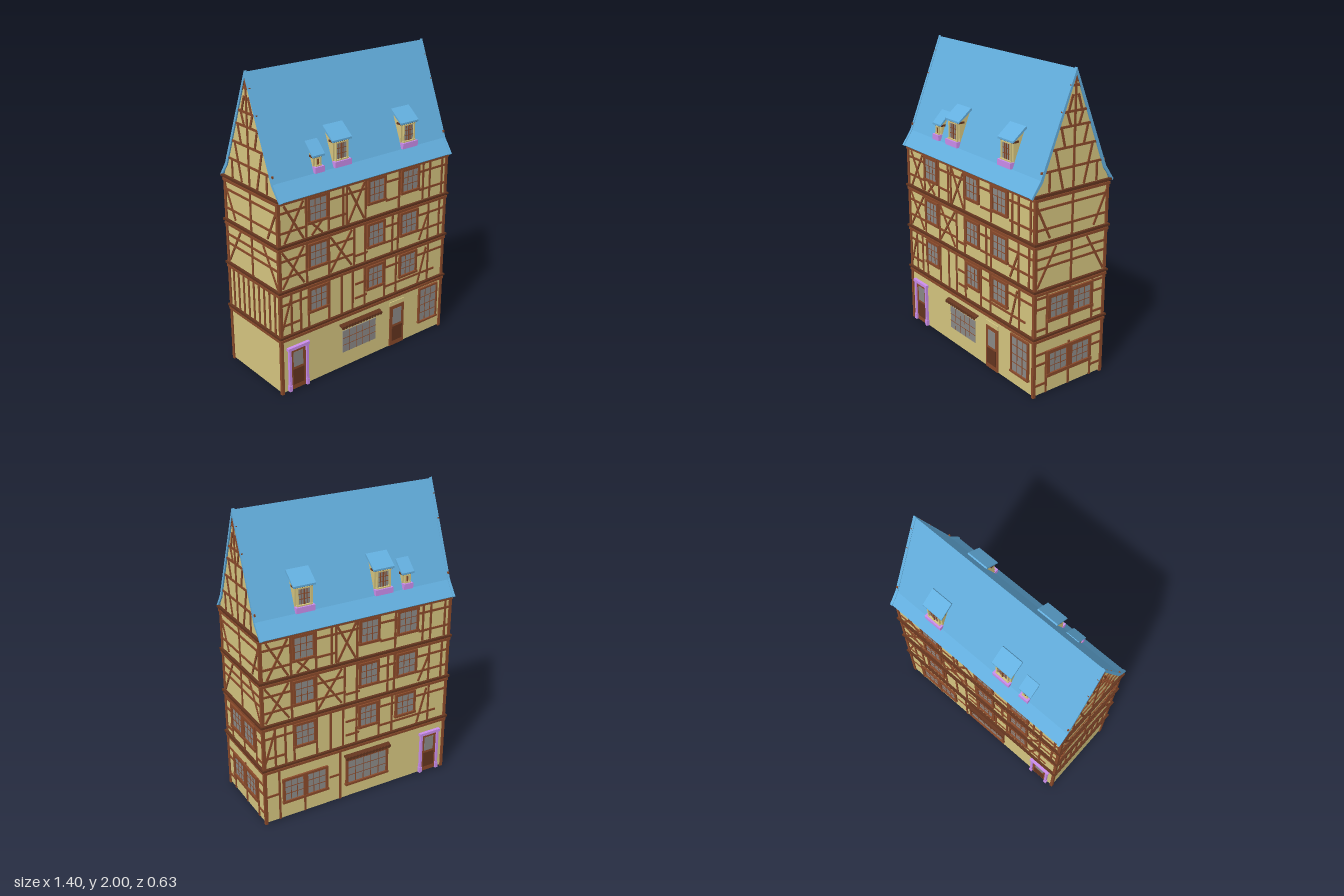
import * as THREE from 'three';

const mat = (color, side = THREE.FrontSide) => {
  const m = new THREE.MeshStandardMaterial({ side });
  m.color.set(color);
  return m;
};
const plaster = mat(0xd6c680, THREE.DoubleSide), wood = mat(0x8a4a2a), darkWood = mat(0x64351f);
const glass = mat(0x8c8a88), tile = mat(0x64b0e0, THREE.DoubleSide), lilac = mat(0xcc8eee);
const HX = 0.68, HZ = 0.275;

function part(parent, name, geo, material, x = 0, y = 0, z = 0) {
  const m = new THREE.Mesh(geo, material);
  m.name = name;
  m.position.set(x, y, z);
  parent.add(m);
  return m;
}
function group(parent, name) {
  const g = new THREE.Group();
  g.name = name;
  parent.add(g);
  return g;
}
// box given by its left, right, bottom, top, back and front limits
const block = (p, name, m, x0, x1, y0, y1, z0, z1) =>
  part(p, name, new THREE.BoxGeometry(x1 - x0, y1 - y0, z1 - z0), m, (x0 + x1) / 2, (y0 + y1) / 2, (z0 + z1) / 2);
// timber lying on a wall from one point to another
function timber(p, [x1, y1, x2, y2], w = 0.014) {
  const m = part(p, 'timber', new THREE.BoxGeometry(Math.hypot(x2 - x1, y2 - y1), w, 0.01), wood, (x1 + x2) / 2, (y1 + y2) / 2, 0.001);
  m.rotation.z = Math.atan2(y2 - y1, x2 - x1);
}
const timbers = (p, list) => list.forEach(t => timber(p, t));
const mirrored = (p, list) => list.forEach(t => { timber(p, t); timber(p, [-t[0], t[1], -t[2], t[3]]); });
// (z, y) outline swept along x and centred
function sweep(points, width) {
  const g = new THREE.ExtrudeGeometry(new THREE.Shape(points.map(q => new THREE.Vector2(...q))), { depth: width, bevelEnabled: false });
  return g.translate(0, 0, -width / 2).rotateY(-Math.PI / 2);
}

// framed window: border, pane, glazing bars
function windowUnit(p, x0, x1, y0, y1, cols = 3, rows = 3, b = 0.016, frame = wood) {
  const g = group(p, 'window');
  block(g, 'pane', glass, x0 + b, x1 - b, y0 + b, y1 - b, -0.01, 0.006);
  block(g, 'jamb', frame, x0, x0 + b, y0, y1, -0.01, 0.014);
  block(g, 'jamb', frame, x1 - b, x1, y0, y1, -0.01, 0.014);
  block(g, 'lintel', frame, x0, x1, y1 - b, y1, -0.01, 0.014);
  block(g, 'sill', frame, x0 - 0.004, x1 + 0.004, y0, y0 + b, -0.01, 0.018);
  for (let i = 1; i < cols; i++) {
    const x = x0 + b + (x1 - x0 - 2 * b) * i / cols;
    block(g, 'glazingBar', wood, x - 0.002, x + 0.002, y0 + b, y1 - b, 0, 0.008);
  }
  for (let i = 1; i < rows; i++) {
    const y = y0 + b + (y1 - y0 - 2 * b) * i / rows;
    block(g, 'glazingBar', wood, x0 + b, x1 - b, y - 0.002, y + 0.002, 0, 0.008);
  }
}
function door(p, x0, x1, y1) {
  const g = group(p, 'door'), w = x1 - x0;
  block(g, 'doorLeaf', wood, x0, x1, 0.01, y1, -0.01, 0.007);
  block(g, 'doorPane', glass, x0 + w * 0.2, x1 - w * 0.2, 0.17, y1 - 0.025, 0, 0.009);
  block(g, 'doorPanel', darkWood, x0 + w * 0.15, x1 - w * 0.15, 0.045, 0.155, 0, 0.012);
}
function lilacDoor(p, c) {
  door(p, c - 0.06, c + 0.06, 0.3);
  for (const s of [-1, 1]) {
    block(p, 'doorPost', lilac, c + s * 0.066 - 0.008, c + s * 0.066 + 0.008, 0.01, 0.3, -0.01, 0.018);
    block(p, 'doorPostBase', lilac, c + s * 0.067 - 0.011, c + s * 0.067 + 0.011, 0.01, 0.05, -0.01, 0.021);
  }
  block(p, 'doorLintel', lilac, c - 0.082, c + 0.082, 0.3, 0.32, -0.01, 0.022);
}
function awning(p, x0, x1) {
  const g = group(p, 'awning'), n = 14, w = (x1 - x0) / n;
  part(g, 'awningRoof', sweep([[0, 0.322], [0.028, 0.312], [0.028, 0.318], [0, 0.332]], x1 - x0), darkWood, (x0 + x1) / 2);
  for (let i = 0; i < n; i++)
    part(g, 'scallop', new THREE.CylinderGeometry(w / 2, w / 2, 0.003, 10).rotateX(Math.PI / 2), darkWood, x0 + w * (i + 0.5), 0.313, 0.027);
}

// timber layouts of the long walls, one per upper floor
const floor1 = [
  [-0.67, 0.62, -0.47, 0.62], [-0.67, 0.48, -0.53, 0.48], [-0.6, 0.41, -0.6, 0.68], [-0.53, 0.41, -0.53, 0.68], [-0.67, 0.45, -0.6, 0.66],
  [-0.47, 0.41, -0.47, 0.68], [-0.31, 0.41, -0.31, 0.68], [-0.21, 0.41, -0.21, 0.68], [-0.12, 0.41, -0.12, 0.68],
  [-0.1, 0.58, 0, 0.58], [-0.1, 0.48, 0, 0.48], [-0.02, 0.41, -0.02, 0.68], [0.15, 0.41, 0.15, 0.68], [0.25, 0.41, 0.25, 0.68],
  [0.15, 0.62, 0.27, 0.62], [0.15, 0.48, 0.6, 0.48], [0.44, 0.62, 0.67, 0.62], [0.45, 0.41, 0.52, 0.66], [0.54, 0.41, 0.54, 0.68]];
const floor2 = [
  [-0.67, 0.91, -0.47, 0.91], [-0.67, 0.8, -0.1, 0.8], [-0.66, 0.73, -0.5, 0.97], [-0.66, 0.97, -0.5, 0.73], [-0.48, 0.72, -0.48, 0.98],
  [-0.31, 0.72, -0.31, 0.98], [-0.3, 0.73, -0.13, 0.97], [-0.3, 0.97, -0.13, 0.73], [-0.31, 0.91, -0.11, 0.91], [-0.11, 0.72, -0.11, 0.98],
  [-0.1, 0.78, 0, 0.78], [-0.02, 0.72, -0.02, 0.98], [0.15, 0.91, 0.27, 0.91], [0.15, 0.8, 0.27, 0.8], [0.21, 0.72, 0.21, 0.98], [0.26, 0.72, 0.26, 0.98],
  [0.44, 0.91, 0.67, 0.91], [0.44, 0.8, 0.67, 0.8], [0.45, 0.73, 0.53, 0.91], [0.53, 0.72, 0.53, 0.98], [0.63, 0.72, 0.63, 0.98]];
const floor3 = [
  [-0.67, 1.215, -0.47, 1.215], [-0.67, 1.09, -0.48, 1.09], [-0.64, 1.26, -0.5, 1.02], [-0.64, 1.02, -0.5, 1.26], [-0.48, 1.02, -0.48, 1.27],
  [-0.44, 1.02, -0.36, 1.1], [-0.44, 1.1, -0.36, 1.02], [-0.31, 1.02, -0.31, 1.27], [-0.31, 1.215, 0, 1.215], [-0.31, 1.09, -0.17, 1.09],
  [-0.2, 1.02, -0.2, 1.27], [-0.17, 1.02, -0.17, 1.27], [-0.16, 1.02, -0.03, 1.26], [-0.16, 1.26, -0.03, 1.02], [-0.02, 1.02, -0.02, 1.27],
  [0.15, 1.215, 0.27, 1.215], [0.15, 1.09, 0.27, 1.09], [0.26, 1.02, 0.26, 1.27], [0.44, 1.215, 0.67, 1.215], [0.44, 1.09, 0.67, 1.09],
  [0.47, 1.02, 0.47, 1.27], [0.53, 1.02, 0.53, 1.27], [0.64, 1.02, 0.64, 1.27]];

function longWall(p) {
  [floor1, floor2, floor3].forEach((f, i) => {
    timbers(p, f);
    for (const [c, h] of [[-0.395, 0.078], [0.067, 0.075], [0.352, 0.08]])
      windowUnit(p, c - h, c + h, 0.505 + i * 0.297, 0.675 + i * 0.297);
  });
}
// upper floors and gable of a short wall
function shortWall(p) {
  timbers(p, [[0, 0.72, 0, 1.95], [-0.27, 0.85, 0.27, 0.85], [-0.27, 0.91, 0.27, 0.91], [-0.27, 1.215, 0.27, 1.215],
    [-0.27, 1.09, 0.27, 1.09], [-0.24, 1.43, 0.24, 1.43], [-0.18, 1.55, 0.18, 1.55], [-0.13, 1.67, 0.13, 1.67],
    [-0.1, 1.755, 0.1, 1.755], [-0.04, 1.9, 0.04, 1.9]]);
  mirrored(p, [[0.26, 0.73, 0.12, 0.97], [0.27, 1.24, 0.17, 1.03], [0.18, 1.31, 0.18, 1.43], [0.14, 1.55, 0.08, 1.31],
    [0.07, 1.55, 0.1, 1.67], [0.03, 1.67, 0.06, 1.755], [0.05, 1.755, 0.02, 1.85], [0.245, 1.38, 0.005, 1.965]]);
}

function dormer(p, c, w, top, bottomZ) {
  const g = group(p, 'dormer'), eave = top - 0.08, h = w / 2 - 0.014;
  g.position.x = c;
  part(g, 'dormerBody', sweep([[0.235, 1.41], [0.235, eave], [bottomZ, top - 0.012], [0.1, 1.41]], 2 * h), plaster);
  part(g, 'dormerRoof', sweep([[0.25, eave - 0.008], [0.25, eave + 0.004], [bottomZ, top], [bottomZ - 0.01, top - 0.012]], w), tile);
  block(g, 'eaveBeam', darkWood, -h - 0.005, h + 0.005, eave - 0.012, eave, 0.2, 0.243);
  const front = group(g, 'dormerFront');
  front.position.z = 0.233;
  windowUnit(front, -h + 0.014, h - 0.014, 1.43, eave - 0.012, 4, 3, 0.008, plaster);
  block(front, 'windowPost', wood, -0.004, 0.004, 1.43, eave - 0.012, 0, 0.012);
  block(g, 'flowerBox', lilac, -h - 0.002, h + 0.002, 1.393, 1.43, 0.2, 0.262);
}

export function createModel() {
  const house = new THREE.Group();
  house.name = 'timberFramedHouse';

  // plaster shell, open underneath
  for (const s of [-1, 1]) {
    const long = part(house, 'longWall', new THREE.PlaneGeometry(2 * HX, 1.29), plaster, 0, 0.655, s * HZ);
    if (s < 0) long.rotation.y = Math.PI;
    const gable = new THREE.Shape([[-HZ, 0.01], [HZ, 0.01], [HZ, 1.31], [0.24, 1.39], [0, 1.975], [-0.24, 1.39], [-HZ, 1.31]].map(q => new THREE.Vector2(...q)));
    part(house, 'gableWall', new THREE.ShapeGeometry(gable), plaster, s * HX).rotation.y = s * Math.PI / 2;
    // corner posts
    for (const t of [-1, 1])
      part(house, 'cornerPost', new THREE.BoxGeometry(0.02, 1.28, 0.02), wood, s * (HX - 0.002), 0.64, t * (HZ - 0.002));
  }

  // storey bands: a lower and an upper rail around the house
  for (const y of [0.392, 0.7, 0.997, 1.287])
    for (const [dy, h, out, m] of [[-0.012, 0.016, 0.012, wood], [0, 0.012, 0.006, darkWood], [0.012, 0.014, 0.018, darkWood]])
      for (const s of [-1, 1]) {
        part(house, 'storeyBand', new THREE.BoxGeometry(2 * (HX + out), h, 0.03), m, 0, y + dy, s * (HZ + out - 0.015));
        part(house, 'storeyBand', new THREE.BoxGeometry(0.03, h, 2 * (HZ + out)), m, s * (HX + out - 0.015), y + dy, 0);
      }

  const [front, right, back, left] = ['frontFace', 'sideFace', 'backFace', 'blindSideFace'].map((name, i) => {
    const g = group(house, name);
    g.rotation.y = i * Math.PI / 2;
    g.position.set([0, HX, 0, -HX][i], 0, [HZ, 0, -HZ, 0][i]);
    return g;
  });
  longWall(front);
  longWall(back);
  shortWall(right);
  shortWall(left);

  // front ground floor
  lilacDoor(front, -0.56);
  block(front, 'shopPane', glass, -0.2, 0.08, 0.117, 0.275, -0.01, 0.004);
  for (let i = 1; i < 5; i++) block(front, 'glazingBar', wood, -0.201 + i * 0.056, -0.199 + i * 0.056, 0.117, 0.275, 0, 0.006);
  for (const y of [0.17, 0.22]) block(front, 'glazingBar', wood, -0.2, 0.08, y, y + 0.003, 0, 0.006);
  awning(front, -0.225, 0.115);
  door(front, 0.205, 0.33, 0.31);
  block(front, 'fanlight', plaster, 0.205, 0.33, 0.312, 0.342, -0.01, 0.006);
  windowUnit(front, 0.465, 0.64, 0.095, 0.36, 3, 4, 0.012);

  // back ground floor
  lilacDoor(back, 0.56);
  windowUnit(back, -0.1, 0.225, 0.1, 0.3, 5, 3);
  awning(back, -0.11, 0.235);
  windowUnit(back, -0.56, -0.398, 0.12, 0.3);
  windowUnit(back, -0.398, -0.235, 0.12, 0.3);
  timbers(back, [[-0.14, 0.01, -0.14, 0.37], [-0.58, 0.01, -0.58, 0.37], [-0.67, 0.2, -0.58, 0.2], [-0.22, 0.2, -0.14, 0.2], [-0.4, 0.01, -0.4, 0.12]]);

  // paired windows and timbers on the lower side floors
  for (const y of [0.117, 0.49]) {
    for (const s of [-1, 1]) windowUnit(right, s * 0.09 - 0.09, s * 0.09 + 0.09, y, y + 0.178, 3, 3, 0.022);
    const base = y < 0.3 ? 0.01 : 0.41;
    timbers(right, [[0, base, 0, y], [0, y + 0.17, 0, base + 0.3]]);
    mirrored(right, [[0.18, base, 0.18, base + 0.28], [0.18, y - 0.04, 0.27, y - 0.04], [0.18, y + 0.1, 0.27, y + 0.1], [0.18, y + 0.17, 0.27, y + 0.17]]);
  }
  // close studs on the blind side
  for (let i = -4; i <= 4; i++) timber(left, [i * 0.056, 0.41, i * 0.056, 0.68]);

  // flared roof with raised verges
  const roof = (t, top) => sweep([[0.31, 1.295], [0.245, 1.39], [0, top], [-0.245, 1.39], [-0.31, 1.295],
    [-0.3, 1.287], [-0.245 + t, 1.375], [0, top - 2.6 * t], [0.245 - t, 1.375], [0.3, 1.287]], 1);
  part(house, 'roof', roof(0.01, 1.993).scale(1.37, 1, 1), tile);
  for (const s of [-1, 1]) part(house, 'verge', roof(0.015, 2).scale(0.018, 1.0, 1.015), tile, s * 0.68);

  // dormers on both slopes
  for (const s of [1, -1]) {
    const slope = group(house, 'dormerRow');
    if (s < 0) slope.rotation.y = Math.PI;
    dormer(slope, s * -0.36, 0.092, 1.575, 0.175);
    dormer(slope, s * -0.183, 0.15, 1.637, 0.155);
    dormer(slope, s * 0.363, 0.15, 1.637, 0.155);
  }
  return house;
}
